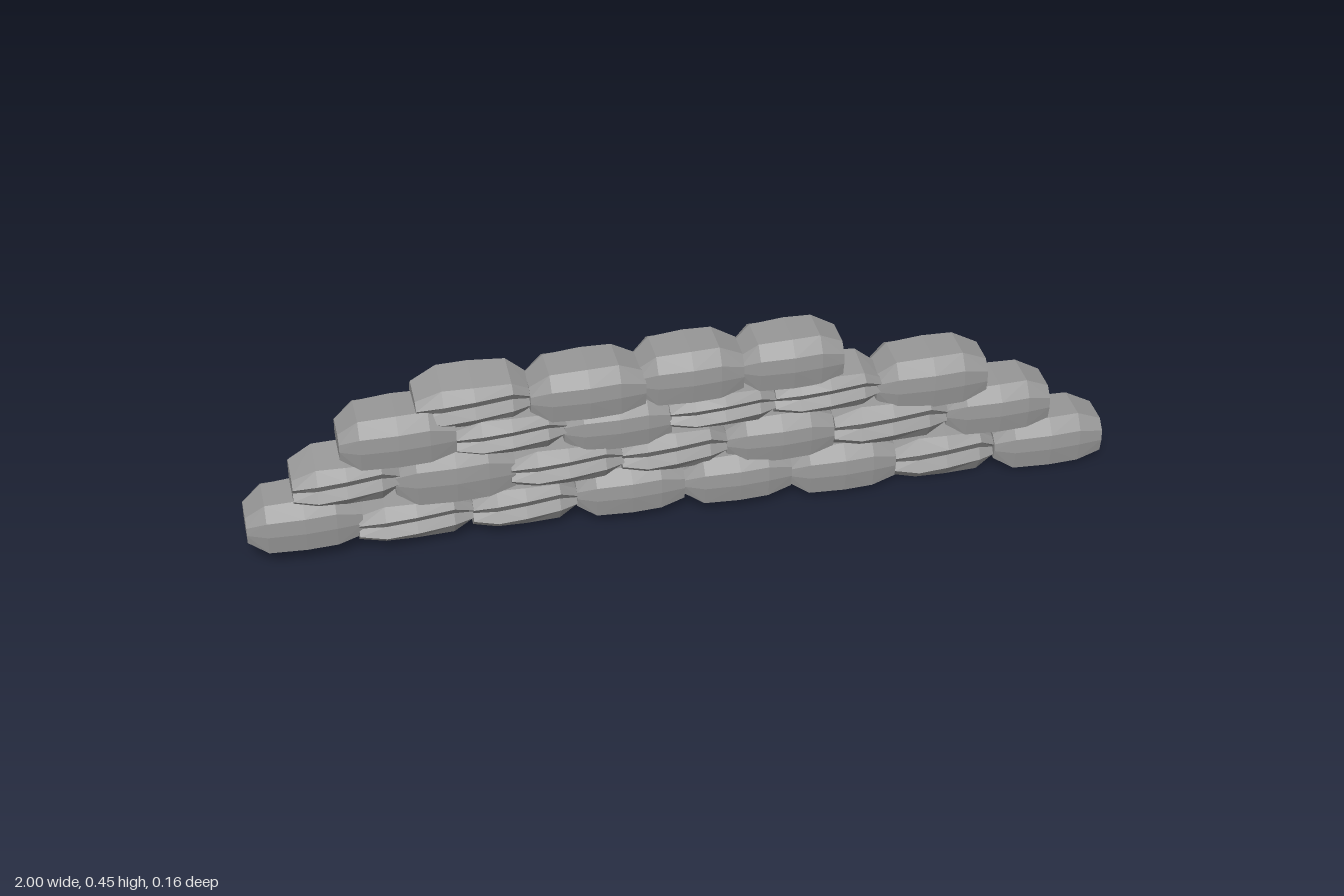
import * as THREE from 'three';

// Stone cross-section as [z, y]: bulging front, grooved back
const SECTION = [
  [0.042, 0.06], [0.068, 0.028], [0.07, -0.01], [0.062, -0.06],
  [-0.04, -0.06], [-0.068, -0.022], [-0.054, 0.004], [-0.07, 0.03], [-0.048, 0.053],
];

// Rings along the stone: x, lowest y, highest y, depth factor, groove slant
const RINGS = [
  [-0.125, -0.038, 0.02, 0.68, 0],
  [-0.082, -0.06, 0.055, 0.97, 0.008],
  [0, -0.06, 0.06, 1.06, 0],
  [0.068, -0.06, 0.06, 1, -0.008],
  [0.125, -0.05, 0.03, 0.8, 0],
];

function stoneGeometry() {
  const n = SECTION.length;
  const rings = RINGS.map(([x, lo, hi, depth, slant]) => SECTION.map(([z, y], i) => {
    const groove = i >= 5 && i <= 7 ? slant : 0;
    return [x, lo + (y + 0.06) / 0.12 * (hi - lo) + groove, z * depth];
  }));
  const pos = [];
  const tri = (a, b, c) => pos.push(...a, ...b, ...c);
  for (let k = 0; k < rings.length - 1; k++) {
    for (let i = 0; i < n; i++) {
      const j = (i + 1) % n;
      const a = rings[k][i], b = rings[k][j], c = rings[k + 1][j], d = rings[k + 1][i];
      if ((k + (i > 1 ? 1 : 0)) % 2) { tri(a, b, c); tri(a, c, d); }
      else { tri(a, b, d); tri(b, c, d); }
    }
  }
  // End caps
  const first = rings[0], last = rings[rings.length - 1];
  for (let i = 1; i < n - 1; i++) {
    tri(last[0], last[i], last[i + 1]);
    tri(first[0], first[i + 1], first[i]);
  }
  const geo = new THREE.BufferGeometry();
  geo.setAttribute('position', new THREE.Float32BufferAttribute(pos, 3));
  geo.computeVertexNormals();
  return geo;
}

// Courses from the ground up; each stone: left, right, bottom, top, side (1 = grooved side forward)
const COURSES = [
  [
    [-1, -0.74, 0.05, 0.175, 0], [-0.75, -0.49, 0.03, 0.14, 1], [-0.49, -0.25, 0.025, 0.14, 1],
    [-0.25, 0, 0.03, 0.147, 0], [0, 0.25, 0.03, 0.147, 0], [0.25, 0.5, 0.015, 0.135, 0],
    [0.5, 0.745, 0, 0.125, 1], [0.74, 1, 0.01, 0.132, 0],
  ],
  [
    [-0.89, -0.65, 0.15, 0.265, 1], [-0.66, -0.39, 0.13, 0.265, 0], [-0.4, -0.14, 0.13, 0.24, 1],
    [-0.145, 0.1, 0.125, 0.24, 1], [0.1, 0.35, 0.125, 0.24, 0], [0.35, 0.62, 0.125, 0.245, 1],
    [0.62, 0.865, 0.125, 0.245, 0],
  ],
  [
    [-0.78, -0.52, 0.255, 0.38, 0], [-0.52, -0.27, 0.235, 0.34, 1], [-0.275, -0.03, 0.22, 0.335, 0],
    [-0.035, 0.215, 0.235, 0.335, 1], [0.21, 0.46, 0.235, 0.34, 1], [0.45, 0.71, 0.22, 0.345, 0],
  ],
  [
    [-0.605, -0.345, 0.32, 0.435, 1], [-0.35, -0.09, 0.32, 0.44, 0],
    [-0.105, 0.135, 0.325, 0.45, 0], [0.13, 0.367, 0.325, 0.445, 0],
  ],
];

export function createModel() {
  const wall = new THREE.Group();
  wall.name = 'stoneWall';
  const grey = new THREE.MeshStandardMaterial({ color: 0x999999, flatShading: true });
  grey.name = 'stone grey';
  const geo = stoneGeometry();

  COURSES.forEach((stones, row) => {
    const course = new THREE.Group();
    course.name = `course${row + 1}`;
    stones.forEach(([x0, x1, y0, y1, turned], i) => {
      const stone = new THREE.Mesh(geo, grey);
      stone.name = `stone${i + 1}`;
      stone.scale.set((x1 - x0) / 0.25, (y1 - y0) / 0.12, 1.03);
      stone.rotation.y = turned ? Math.PI : 0;
      // Small steps in and out of the wall face
      stone.position.set((x0 + x1) / 2, (y0 + y1) / 2, 0.004 * ((i * 2 + row) % 3 - 1));
      course.add(stone);
    });
    wall.add(course);
  });
  return wall;
}
